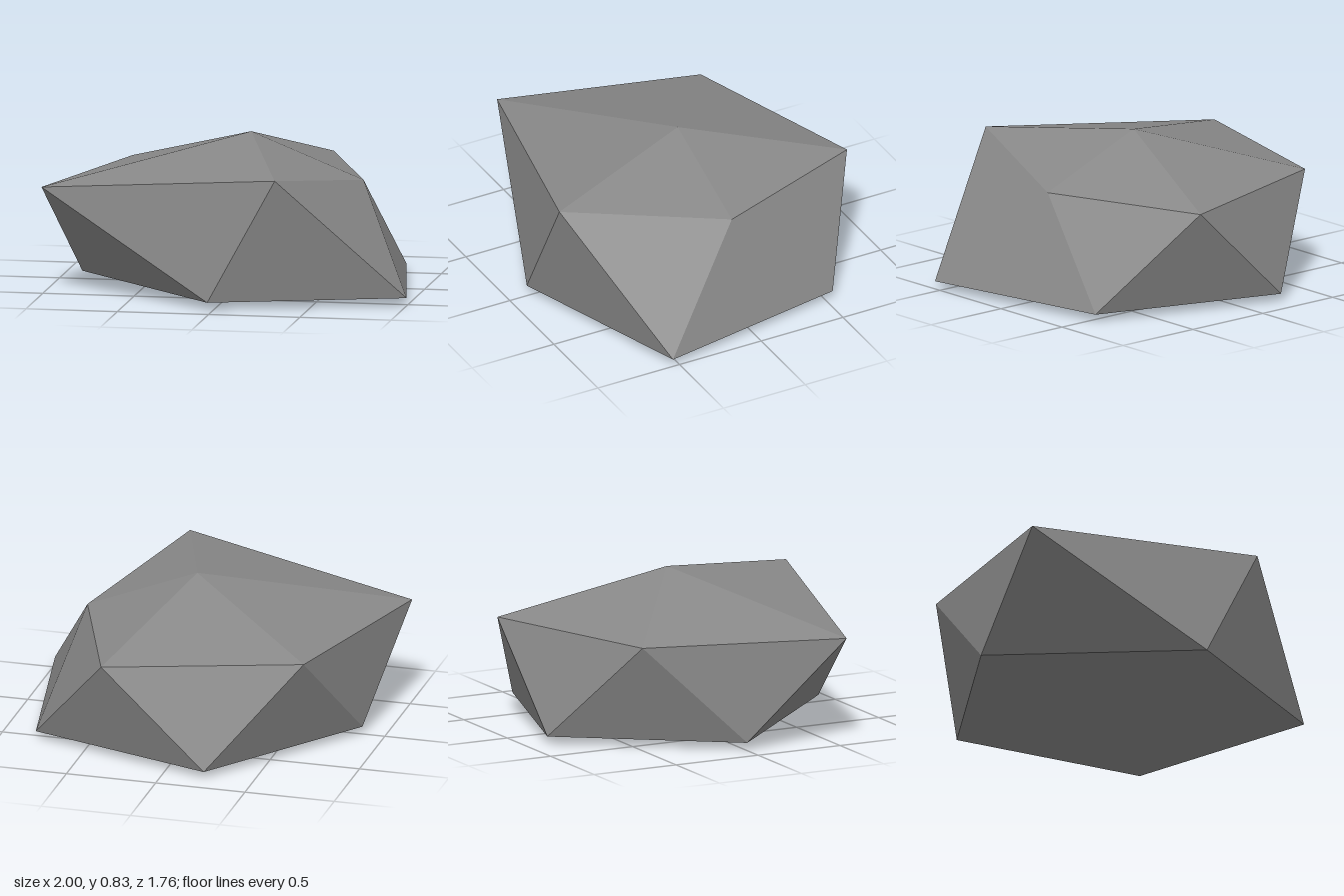
import * as THREE from 'three';

export function createModel() {
  const group = new THREE.Group();
  group.name = 'rock';

  const stone = new THREE.MeshStandardMaterial({ color: 0x888888, flatShading: true });
  stone.name = 'stone grey';

  // A boulder from two staggered five-sided rings, closed by a peak and a base point
  const peak = [0.05, 0.838, 0];
  const base = [0.05, 0.004, 0];
  const upper = [
    [0.34, 0.723, 0.88], [0.665, 0.592, 0], [0.34, 0.592, -0.88],
    [-0.70, 0.592, -0.545], [-1, 0.592, 0.54],
  ];
  const lower = [
    [1, 0.047, 0.54], [0.80, 0.047, -0.545], [-0.235, 0.047, -0.88],
    [-0.875, 0.047, 0], [-0.03, 0.047, 0.88],
  ];

  // Each step round adds a crown face, two side faces and an underside face
  const corners = [];
  for (let i = 0; i < 5; i++) {
    const j = (i + 1) % 5;
    corners.push(
      peak, upper[i], upper[j],
      upper[i], lower[i], upper[j],
      upper[j], lower[i], lower[j],
      base, lower[j], lower[i],
    );
  }

  const geometry = new THREE.BufferGeometry();
  geometry.setAttribute('position', new THREE.Float32BufferAttribute(corners.flat(), 3));
  geometry.computeVertexNormals();

  const boulder = new THREE.Mesh(geometry, stone);
  boulder.name = 'boulder';
  group.add(boulder);
  return group;
}
